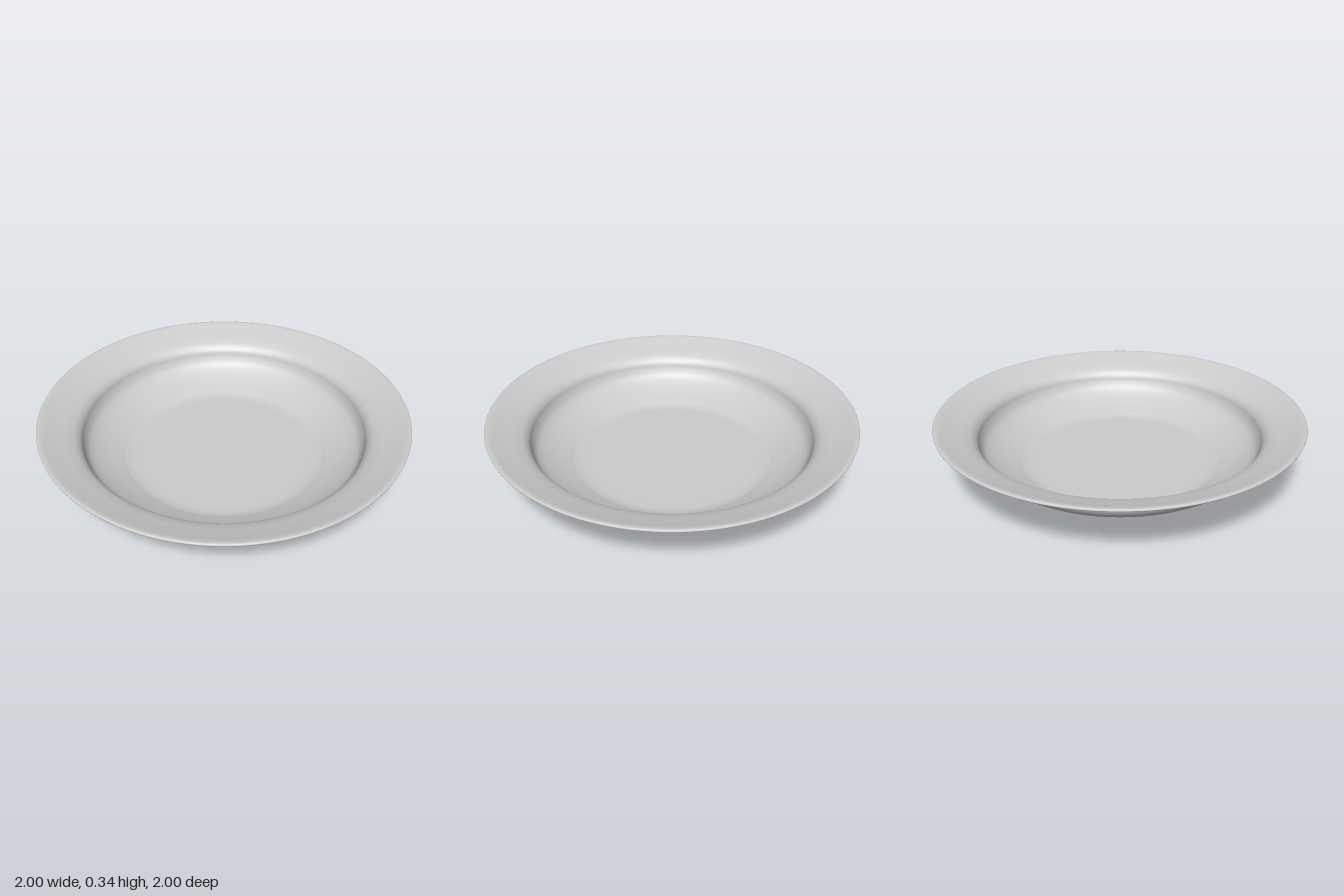
import * as THREE from 'three';

// Smooth run through a few [radius, height] points
function smooth(points, count) {
  const curve = new THREE.CatmullRomCurve3(
    points.map(([r, y]) => new THREE.Vector3(r, y, 0)), false, 'centripetal');
  return curve.getPoints(count).map(p => [p.x, p.y]);
}

export function createModel() {
  const group = new THREE.Group();
  group.name = 'soupPlate';

  // Recessed underside and foot ring
  const foot = [
    [0, 0.03], [0.425, 0.03], [0.435, 0.029], [0.45, 0.023], [0.465, 0.011],
    [0.475, 0.002], [0.479, 0], [0.49, 0], [0.495, 0.002], [0.498, 0.008],
    [0.511, 0.032], [0.516, 0.038],
  ];

  // Outside of the bowl and underside of the flared rim
  const outside = smooth([
    [0.525, 0.041], [0.555, 0.045], [0.62, 0.073], [0.7, 0.115], [0.75, 0.15],
    [0.775, 0.185], [0.79, 0.23], [0.81, 0.257], [0.85, 0.278],
    [0.92, 0.302], [0.985, 0.327],
  ], 50);

  // Rounded lip
  const lip = [[0.994, 0.33], [0.999, 0.334], [1, 0.338], [0.997, 0.342], [0.99, 0.344], [0.981, 0.343]];

  // Top of the rim, inner wall and low step down to the well
  const inside = smooth([
    [0.97, 0.34], [0.9, 0.316], [0.84, 0.296], [0.8, 0.276], [0.777, 0.25],
    [0.765, 0.215], [0.745, 0.179], [0.71, 0.15], [0.64, 0.113], [0.58, 0.088],
  ], 50);
  const well = [[0.57, 0.085], [0.562, 0.081], [0.55, 0.076], [0.53, 0.071], [0.51, 0.0685], [0.495, 0.068], [0.48, 0.068], [0, 0.068]];

  const profile = [...foot, ...outside, ...lip, ...inside, ...well]
    .map(([r, y]) => new THREE.Vector2(r, y));
  const plate = new THREE.Mesh(
    new THREE.LatheGeometry(profile, 128),
    new THREE.MeshStandardMaterial({ color: 0xcccccc }));
  plate.name = 'plate';
  group.add(plate);
  return group;
}
